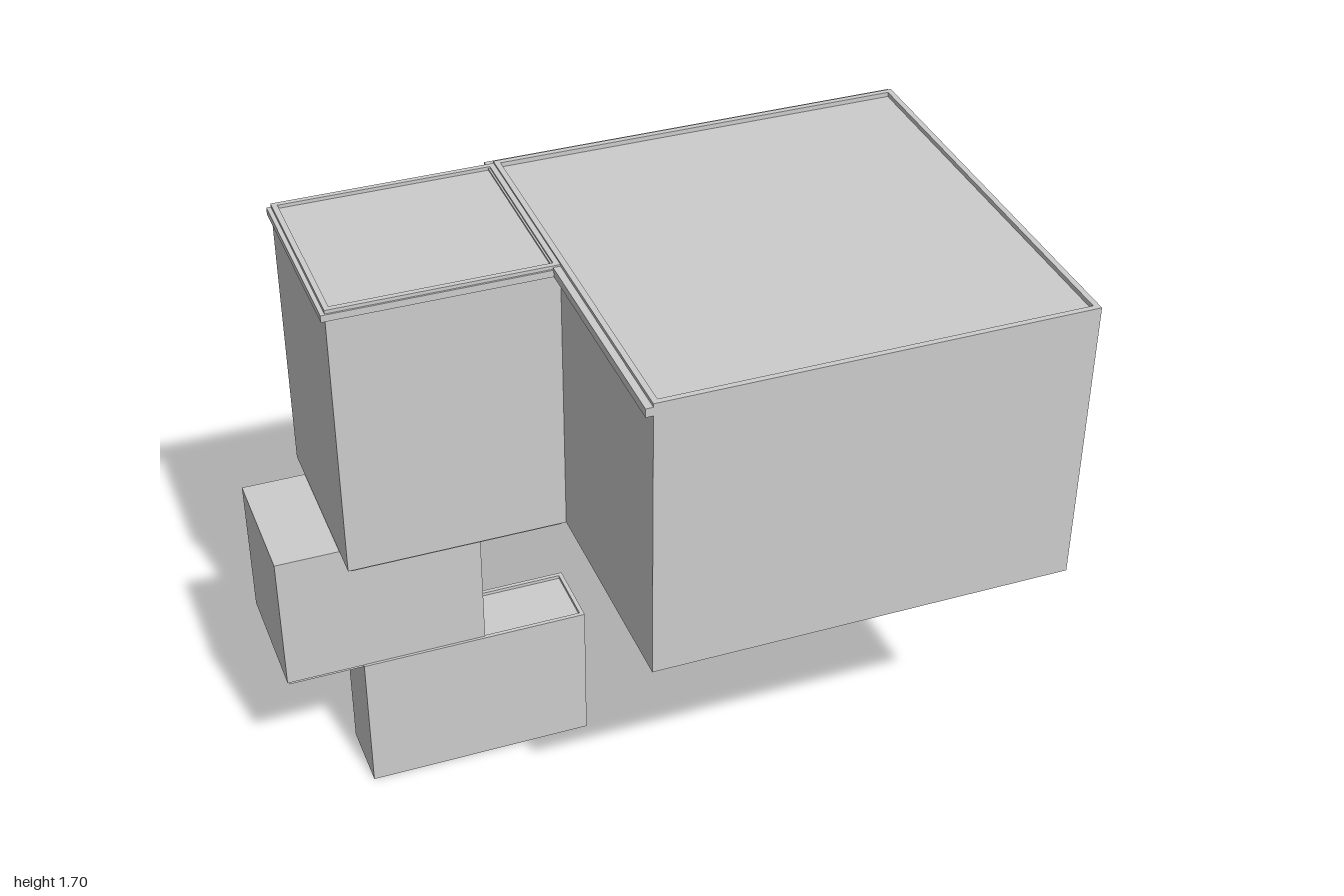
import * as THREE from 'three';

const material = new THREE.MeshStandardMaterial({ color: 0xcccccc, flatShading: true });

function add(parent, name, geometry) {
  const mesh = new THREE.Mesh(geometry, material);
  mesh.name = name;
  parent.add(mesh);
  return mesh;
}

// Box given by its limits on each axis
function block(parent, name, [x0, x1], [y0, y1], [z0, z1]) {
  const mesh = add(parent, name, new THREE.BoxGeometry(x1 - x0, y1 - y0, z1 - z0));
  mesh.position.set((x0 + x1) / 2, (y0 + y1) / 2, (z0 + z1) / 2);
  return mesh;
}

function rect(Type, a0, a1, b0, b1) {
  return new Type([[a0, b0], [a1, b0], [a1, b1], [a0, b1]].map(p => new THREE.Vector2(...p)));
}

// Flat panel with holes; limits are [a0, a1, b0, b1]
function panel(outer, holes, depth) {
  const shape = rect(THREE.Shape, ...outer);
  holes.forEach(h => shape.holes.push(rect(THREE.Path, ...h)));
  return new THREE.ExtrudeGeometry(shape, { depth, bevelEnabled: false });
}

// Horizontal rectangular ring of width w
function ring(parent, name, [x0, x1], [y0, y1], [z0, z1], w) {
  const g = panel([x0, x1, -z1, -z0], [[x0 + w, x1 - w, -z1 + w, -z0 - w]], y1 - y0);
  g.rotateX(-Math.PI / 2);
  g.translate(0, y0, 0);
  return add(parent, name, g);
}

// Panel standing in the z-y plane with its outer face at x
function sidePanel(parent, name, x, outer, holes, depth) {
  const g = panel(outer, holes, depth);
  g.rotateY(-Math.PI / 2);
  g.translate(x, 0, 0);
  return add(parent, name, g);
}

const inset = ([a, b, c, d], w) => [a + w, b - w, c + w, d - w];

export function createModel() {
  const model = new THREE.Group();

  // Main hall with recessed roof deck and underside
  const hall = new THREE.Group();
  hall.name = 'mainHall';
  model.add(hall);
  block(hall, 'hallBody', [-0.2, 0.975], [0.87, 1.682], [-0.61, 0.62]);
  ring(hall, 'hallBaseRim', [-0.2, 0.99], [0.86, 0.87], [-0.61, 0.62], 0.015);
  ring(hall, 'hallRoofRim', [-0.2, 0.99], [1.682, 1.695], [-0.61, 0.62], 0.016);
  block(hall, 'backGutter', [-0.22, 0.99], [1.66, 1.685], [-0.63, -0.61]);
  block(hall, 'sideGutter', [-0.22, -0.2], [1.66, 1.685], [-0.61, 0.62]);

  // Entrance wall with openings for the door and four windows
  const windows = [[0.415, 0.58], [0.23, 0.385], [-0.37, -0.18], [-0.56, -0.395]]
    .map(([a, b]) => [a, b, 0.975, 1.235]);
  const door = [-0.11, 0.13, 0.872, 1.235];
  sidePanel(hall, 'entranceWall', 0.99, [-0.61, 0.62, 0.87, 1.682], [...windows, door], 0.015);
  sidePanel(hall, 'door', 0.987, door, [], 0.012);
  windows.forEach(w => sidePanel(hall, 'windowFrame', 0.984, w, [inset(w, 0.024)], 0.009));

  // Side wing
  const wing = new THREE.Group();
  wing.name = 'sideWing';
  model.add(wing);
  block(wing, 'wingBody', [-0.82, -0.2], [0.86, 1.68], [-0.608, -0.05]);
  block(wing, 'wingFloor', [-0.81, -0.21], [0.85, 0.86], [-0.59, -0.06]);
  ring(wing, 'wingRoofRim', [-0.82, -0.2], [1.68, 1.69], [-0.608, -0.05], 0.015);
  block(wing, 'wingSideGutter', [-0.832, -0.82], [1.66, 1.68], [-0.608, -0.045]);
  block(wing, 'wingFrontGutter', [-0.82, -0.22], [1.66, 1.68], [-0.05, -0.045]);

  // Middle block below the wing
  const middle = new THREE.Group();
  middle.name = 'middleBlock';
  model.add(middle);
  block(middle, 'middleBody', [-1, -0.42], [0.435, 0.855], [-0.525, -0.148]);
  ring(middle, 'middleBaseRim', [-0.995, -0.425], [0.426, 0.435], [-0.52, -0.152], 0.015);

  // Lowest block with a recessed top and a thin bracket on its end
  const lower = new THREE.Group();
  lower.name = 'lowerBlock';
  model.add(lower);
  block(lower, 'lowerBody', [-0.78, -0.124], [0, 0.426], [-0.347, -0.14]);
  ring(lower, 'lowerTopRim', [-0.78, -0.12], [0.426, 0.436], [-0.347, -0.14], 0.012);
  sidePanel(lower, 'lowerEndWall', -0.12, [-0.347, -0.14, 0, 0.426],
    [[-0.32, -0.175, 0.358, 0.368]], 0.004);

  return model;
}
